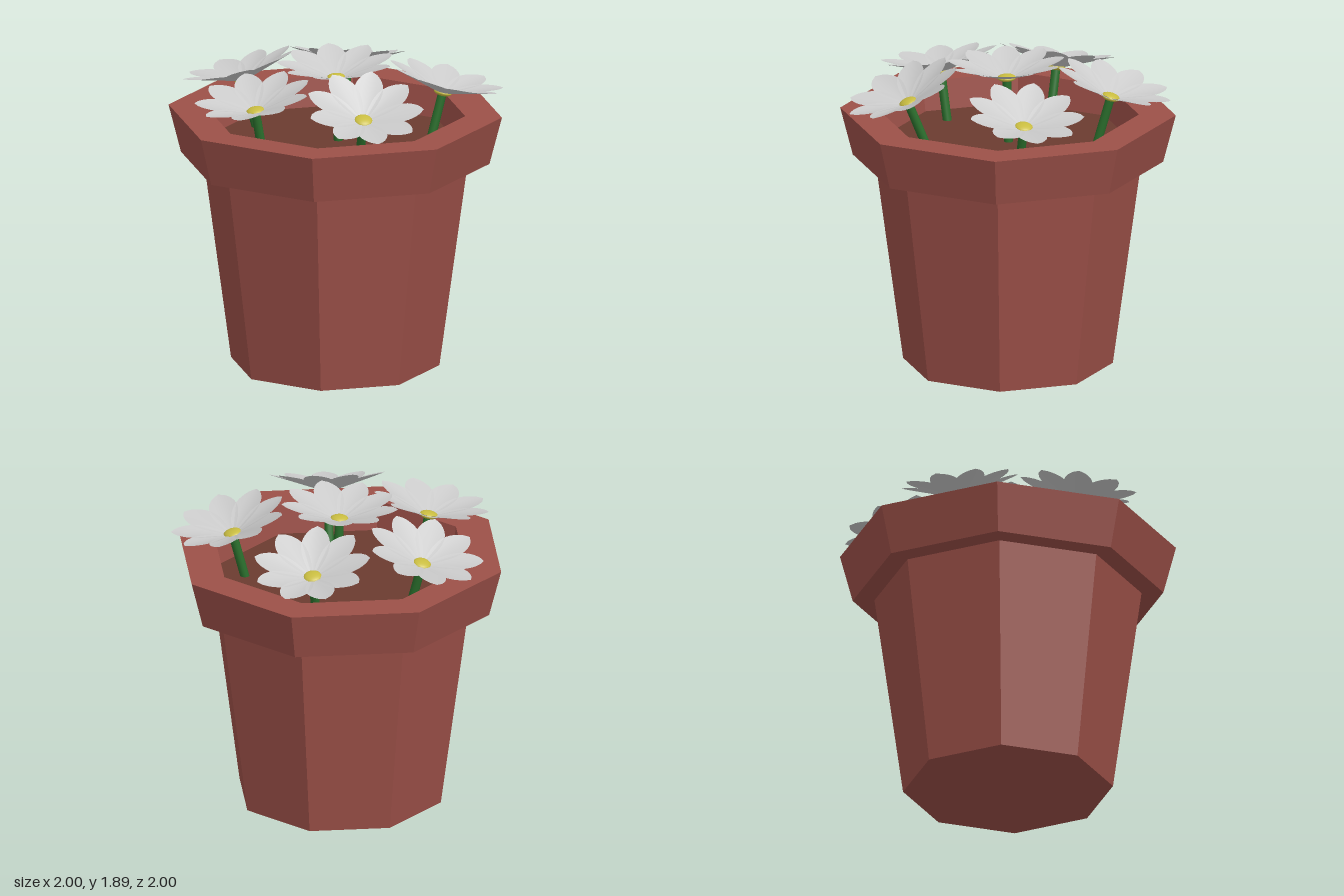
import * as THREE from 'three';

const SOIL_Y = 1.37;
const CUP = 0.31; // upward slope of the petals, in radians
const PETALS = 9;

const potMat = new THREE.MeshStandardMaterial({ color: 0x9c5048, flatShading: true, side: THREE.DoubleSide });
const soilMat = new THREE.MeshStandardMaterial({ color: 0x6b3b30, flatShading: true });
const stemMat = new THREE.MeshStandardMaterial({ color: 0x2a6e2c });
const petalMat = new THREE.MeshStandardMaterial({ color: 0xcccccc, side: THREE.DoubleSide });
const eyeMat = new THREE.MeshStandardMaterial({ color: 0xc8bc40 });

function part(name, geometry, material) {
  const mesh = new THREE.Mesh(geometry, material);
  mesh.name = name;
  return mesh;
}

// Petal along +z: narrow at the root, rounded at the tip, slightly troughed
function petalGeometry() {
  const geo = new THREE.PlaneGeometry(1, 1, 4, 16);
  const pos = geo.attributes.position;
  for (let i = 0; i < pos.count; i++) {
    const u = pos.getX(i) * 2;
    const t = pos.getY(i) + 0.5;
    const half = 0.086 * Math.pow(Math.max(0, Math.sin(Math.PI * Math.pow(t, 1.4))), 0.65);
    pos.setXYZ(i, -u * half, 0.012 * u * u * Math.sin(Math.PI * t), 0.37 * t);
  }
  geo.rotateX(-CUP);
  geo.computeVertexNormals();
  return geo;
}

// Flower whose head sits at `head` and whose stem runs along the lean down to the soil
function makeFlower({ head, lean, turn }, petalGeo, eyeGeo) {
  const flower = new THREE.Group();
  flower.name = 'flower';
  const up = new THREE.Vector3(lean[0], 1, lean[1]).normalize();
  flower.position.set(...head);
  flower.quaternion.setFromUnitVectors(new THREE.Vector3(0, 1, 0), up);

  const length = (head[1] - SOIL_Y) / up.y + 0.02;
  const stem = part('stem', new THREE.CylinderGeometry(0.027, 0.027, length, 12), stemMat);
  stem.position.y = -length / 2;
  flower.add(stem);

  for (let i = 0; i < PETALS; i++) {
    const petal = part('petal', petalGeo, petalMat);
    petal.rotation.y = THREE.MathUtils.degToRad(turn) + (i * 2 * Math.PI) / PETALS;
    flower.add(petal);
  }

  const eye = part('flowerCentre', eyeGeo, eyeMat);
  eye.scale.y = 0.4;
  eye.position.y = 0.012;
  flower.add(eye);
  return flower;
}

export function createModel() {
  const model = new THREE.Group();
  model.name = 'flowerPot';

  // Eight-sided pot with a flared rim and hollow top
  const profile = [[0, 0], [0.625, 0], [0.795, 1.26], [0.925, 1.26], [1, 1.55], [0.78, 1.55], [0.75, SOIL_Y - 0.03]]
    .map(([r, y]) => new THREE.Vector2(r, y));
  model.add(part('pot', new THREE.LatheGeometry(profile, 8), potMat));

  const soil = part('soil', new THREE.CylinderGeometry(0.755, 0.75, 0.03, 8), soilMat);
  soil.position.y = SOIL_Y - 0.015;
  model.add(soil);

  // Flowers: one in the middle, five leaning outwards
  const petalGeo = petalGeometry();
  const eyeGeo = new THREE.SphereGeometry(0.055, 20, 12);
  const flowers = [
    { head: [0.01, 1.75, 0], lean: [0, 0.04], turn: 0 },
    { head: [0.01, 1.65, 0.6], lean: [0, 0.2], turn: 0 },
    { head: [0.58, 1.66, 0.23], lean: [0.37, 0.17], turn: 27 },
    { head: [-0.58, 1.64, 0.24], lean: [-0.27, 0.13], turn: 14 },
    { head: [-0.44, 1.64, -0.42], lean: [-0.2, -0.2], turn: 15 },
    { head: [0.34, 1.64, -0.54], lean: [0.08, -0.25], turn: 32 },
  ];
  for (const f of flowers) model.add(makeFlower(f, petalGeo, eyeGeo));
  return model;
}
